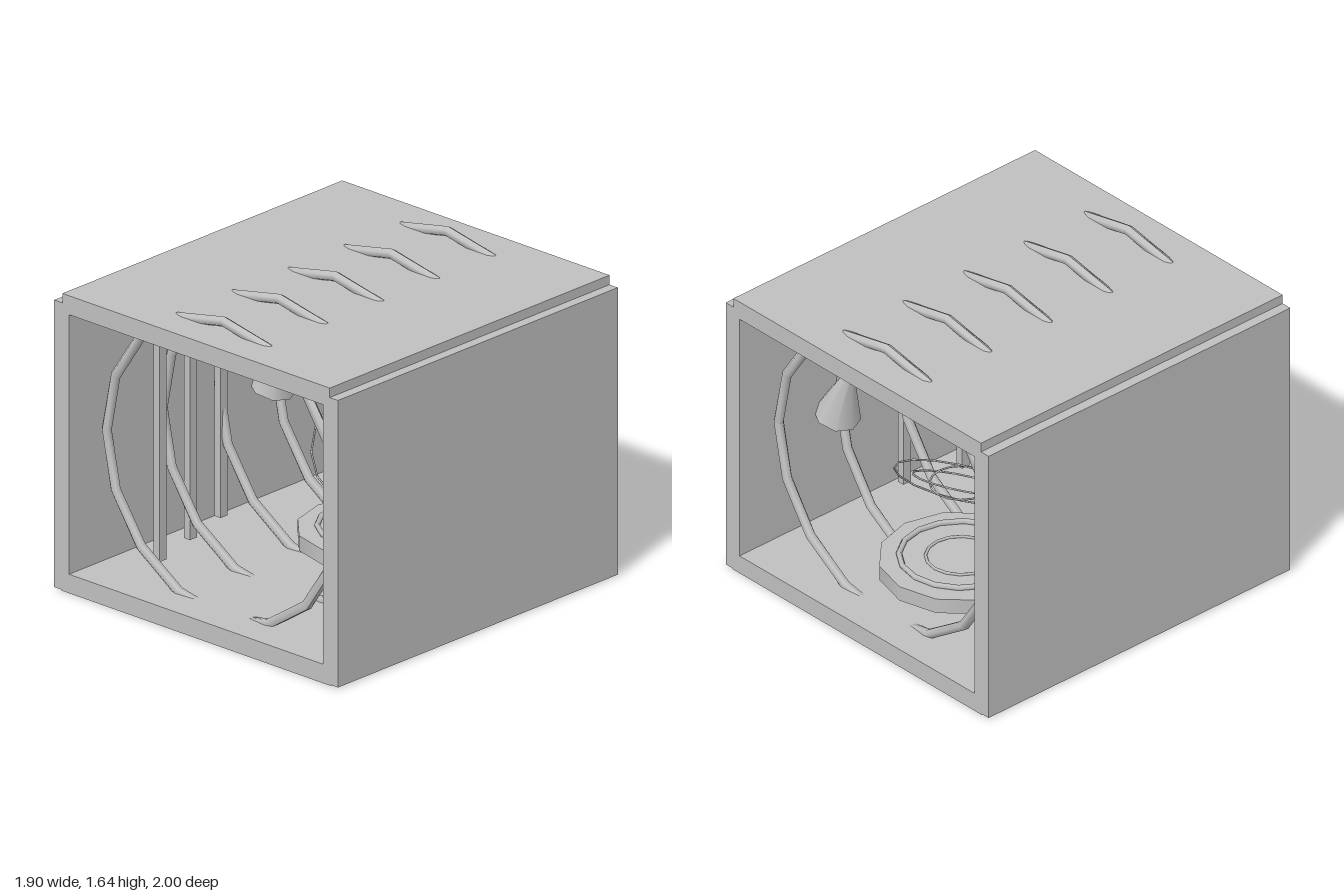
import * as THREE from 'three';

export function createModel() {
  const model = new THREE.Group();
  const grey = new THREE.MeshStandardMaterial({ color: 0xc0c0c0 });
  grey.name = 'plain grey';

  const add = (name, geometry, x = 0, y = 0, z = 0) => {
    const mesh = new THREE.Mesh(geometry, grey);
    mesh.name = name;
    mesh.position.set(x, y, z);
    model.add(mesh);
    return mesh;
  };
  const aim = (mesh, from, to) =>
    mesh.quaternion.setFromUnitVectors(from, new THREE.Vector3(...to).normalize());
  const Y = new THREE.Vector3(0, 1, 0);
  const Z = new THREE.Vector3(0, 0, 1);

  // Open-ended tunnel shell
  add('floor', new THREE.BoxGeometry(1.8, 0.1, 2), 0, 0.05, 0);
  add('ceiling', new THREE.BoxGeometry(1.79, 0.1, 2), 0, 1.52, 0);
  for (const s of [-1, 1]) {
    add('wall', new THREE.BoxGeometry(0.1, 1.515, 2), s * 0.9, 0.7625, 0);
  }

  // Ribs: hexagonal tubes that twist by one side per turn
  const rib = new THREE.TorusGeometry(0.785, 0.027, 6, 16);
  const pos = rib.attributes.position;
  const uv = rib.attributes.uv;
  for (let i = 0; i < pos.count; i++) {
    const u = uv.getX(i) * Math.PI * 2;
    const v = uv.getY(i) * Math.PI * 2 + (u - Math.PI / 2) / 6;
    const r = 0.785 + 0.027 * Math.cos(v);
    pos.setXYZ(i, r * Math.cos(u), r * Math.sin(u), 0.027 * Math.sin(v));
  }
  rib.computeVertexNormals();
  for (let i = -2; i <= 2; i++) add('rib', rib, 0, 0.826, i * 0.4);

  // Upright bars and tilted wall lamps, mirrored
  const bar = new THREE.BoxGeometry(0.04, 1.21, 0.05);
  const shade = new THREE.CylinderGeometry(0.025, 0.12, 0.29, 8);
  const spike = new THREE.ConeGeometry(0.03, 0.18, 6);
  for (const s of [-1, 1]) {
    for (let i = 0; i < 3; i++) {
      add('bar', bar, s * (0.76 - i * 0.086), 0.745, 0.01 + i * 0.31);
    }
    aim(add('lampShade', shade, s * 0.755, 0.825, -0.4), Y, [-s * 0.09, 0.28, 0]);
    aim(add('lampSpike', spike, s * 0.668, 0.98, -0.4), Y, [-s * 0.1, 0.14, 0]);
  }

  // Round dais with raised rings
  const daisZ = -0.31;
  add('dais', new THREE.CylinderGeometry(0.41, 0.41, 0.08, 12), 0, 0.16, daisZ);
  aim(add('daisOuterRing', new THREE.TorusGeometry(0.305, 0.015, 6, 16), 0, 0.21, daisZ), Z, [0, 1, 0]);
  aim(add('daisInnerRing', new THREE.TorusGeometry(0.175, 0.008, 6, 16), 0, 0.204, daisZ), Z, [0, 1, 0]);

  // Floating rings, each tilted further
  const rings = [
    [0.155, [0, 1, 0]],
    [0.243, [0.15, 0.9, 0.405]],
    [0.338, [0.375, 0.66, 0.65]],
  ];
  for (const [radius, normal] of rings) {
    const ring = new THREE.TorusGeometry(radius, 0.005, 6, 16);
    aim(add('floatingRing', ring, 0, 0.625, daisZ), Z, normal);
  }

  // Hanging chains of small links in a shallow arc
  const link = new THREE.TorusGeometry(0.018, 0.005, 6, 10);
  for (let c = 0; c < 6; c++) {
    const x = (c - 2.5) * 0.173;
    for (let r = 0; r < 6; r++) {
      add('chainLink', link, x, 1.4 - r * 0.055, 1.2 * Math.abs(x) - 0.2);
    }
  }
  return model;
}
